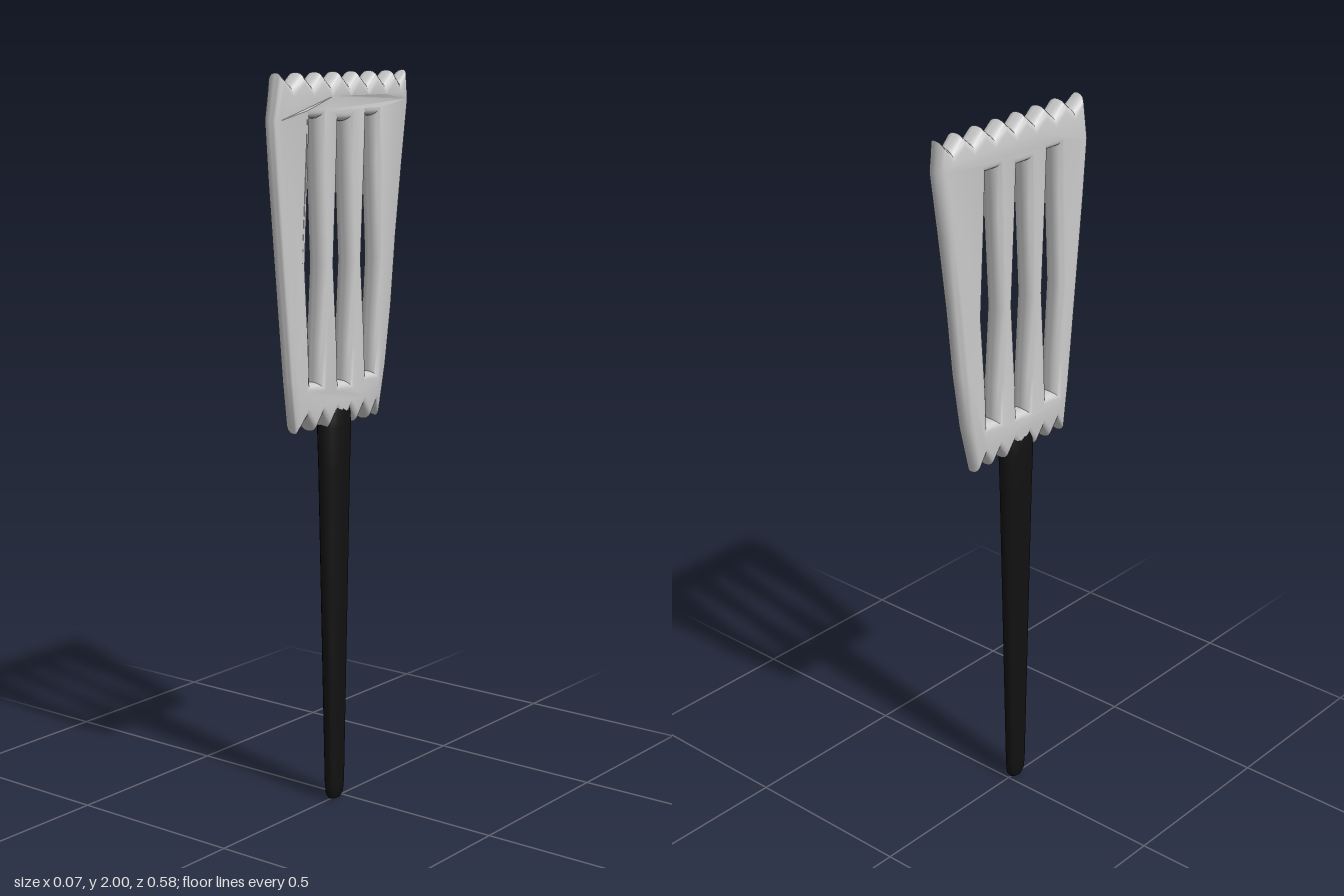
import * as THREE from 'three';
import { toCreasedNormals } from 'three/addons/utils/BufferGeometryUtils.js';

const toVectors = (points) => points.map(([a, b]) => new THREE.Vector2(a, b));

// Zigzag row of teeth between two z positions
function teeth(fromZ, toZ, count, tipY, valleyY) {
  const points = [];
  const steps = (count - 1) * 2;
  for (let i = 0; i <= steps; i++) {
    points.push([THREE.MathUtils.lerp(fromZ, toZ, i / steps), i % 2 ? valleyY : tipY]);
  }
  return points;
}

// Tall slot: narrow at both ends, wider in the middle
function slot(z, endHalf, midHalf, bottom, top) {
  const mid = 1.5;
  return new THREE.Path(toVectors([
    [z - endHalf, bottom], [z + endHalf, bottom],
    [z + endHalf * 1.2, bottom + 0.1], [z + midHalf, mid], [z + endHalf * 1.3, top - 0.12],
    [z + endHalf, top], [z - endHalf, top],
    [z - endHalf * 1.3, top - 0.12], [z - midHalf, mid], [z - endHalf * 1.2, bottom + 0.1],
  ]));
}

function createHead() {
  const outline = [
    [-0.19, 1.2], [-0.215, 1.36], [-0.235, 1.55], [-0.262, 1.75], [-0.287, 1.92],
    ...teeth(-0.275, 0.267, 8, 1.998, 1.965),
    [0.29, 1.88], [0.277, 1.72], [0.255, 1.5], [0.24, 1.35], [0.225, 1.2],
    ...teeth(0.2, -0.153, 7, 1.06, 1.098),
  ];
  const shape = new THREE.Shape(toVectors(outline));
  shape.holes.push(
    slot(0.143, 0.016, 0.033, 1.19, 1.88),
    slot(0.024, 0.017, 0.035, 1.18, 1.87),
    slot(-0.095, 0.016, 0.035, 1.19, 1.88),
  );
  const geometry = new THREE.ExtrudeGeometry(shape, {
    depth: 0.008, bevelEnabled: true, bevelThickness: 0.028,
    bevelSize: 0.022, bevelOffset: -0.022, bevelSegments: 4, curveSegments: 4,
  });
  geometry.translate(0, 0, -0.004);
  geometry.rotateY(-Math.PI / 2);

  // Thin the outer bars toward the side edges on the +x face
  const p = geometry.attributes.position;
  for (let i = 0; i < p.count; i++) {
    const k = (p.getY(i) - 1.07) / 0.93;
    const centre = THREE.MathUtils.lerp(0.02, 0, k);
    const half = THREE.MathUtils.lerp(0.18, 0.29, k);
    const t = Math.abs(p.getZ(i) - centre) / half;
    if (p.getX(i) > 0) p.setX(i, p.getX(i) * (1 - 0.55 * THREE.MathUtils.smoothstep(t, 0.7, 1)));
  }
  const mesh = new THREE.Mesh(toCreasedNormals(geometry, 0.9),
    new THREE.MeshStandardMaterial({ color: 0xcccccc }));
  mesh.name = 'slottedHead';
  return mesh;
}

function createHandle() {
  // Tapered oval grip
  const profile = toVectors([
    [0, 0], [0.022, 0.002], [0.031, 0.015], [0.035, 0.05], [0.042, 0.35],
    [0.049, 0.65], [0.056, 0.95], [0.06, 1.06], [0.056, 1.1], [0.045, 1.135], [0, 1.14],
  ]);
  const geometry = new THREE.LatheGeometry(profile, 16);
  geometry.scale(0.6, 1, 1);
  geometry.translate(0, 0, 0.03);
  const mesh = new THREE.Mesh(toCreasedNormals(geometry, 0.8),
    new THREE.MeshStandardMaterial({ color: 0x111111 }));
  mesh.name = 'handle';
  return mesh;
}

export function createModel() {
  const group = new THREE.Group();
  group.name = 'slottedSpatula';
  group.add(createHead(), createHandle());
  return group;
}
